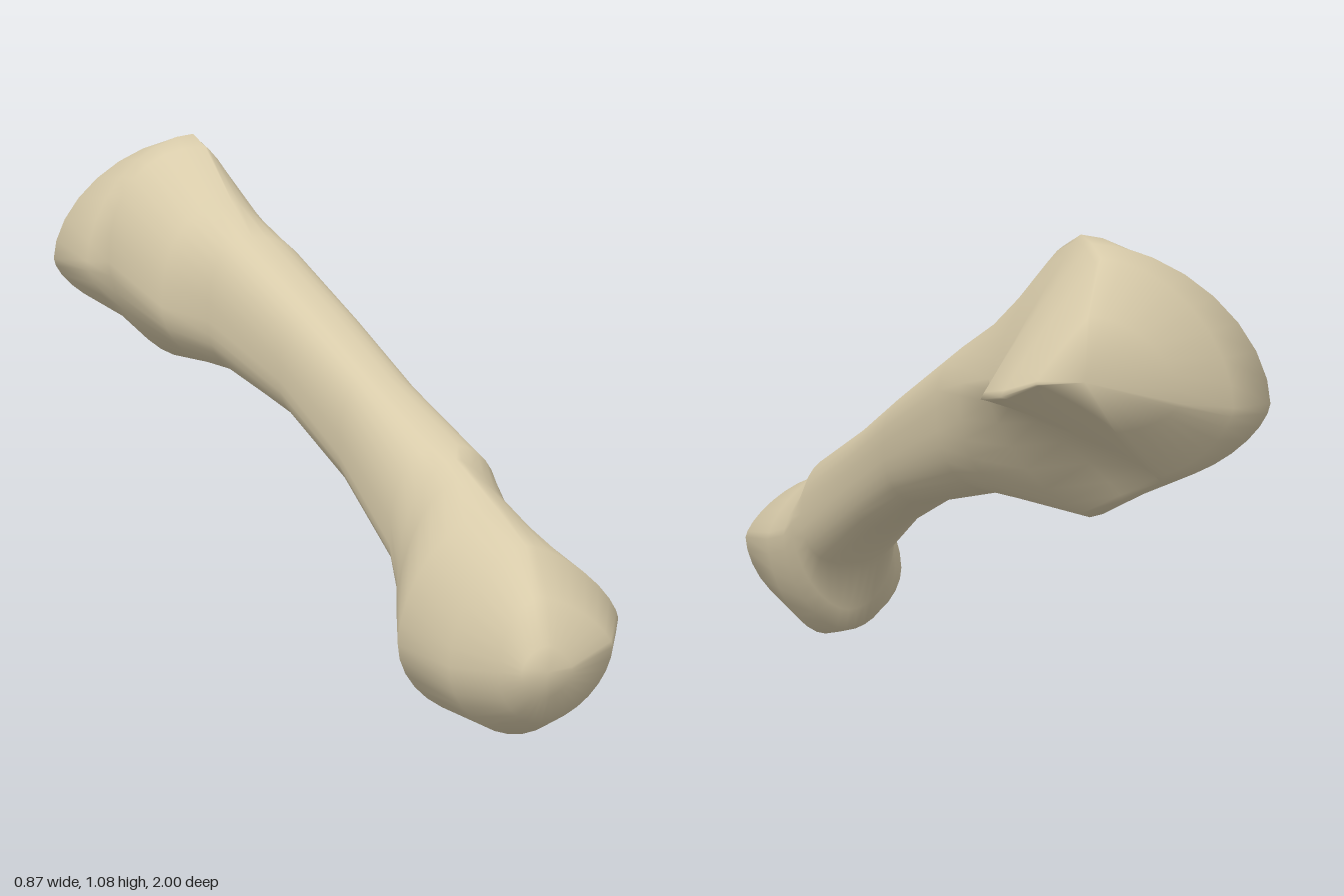
import * as THREE from 'three';

// Corner shape of each quarter: upper +x, upper -x, lower -x, lower +x.
// 1 is elliptical, below 1 is fuller, 2 is straight, above 2 is hollow.
const KNEE = [1.4, 1.1, 1.05, 1.15];
const SHAFT = [0.85, 0.85, 0.85, 0.8];
const NECK = [1.25, 0.9, 1.05, 0.9];
const HIP_FRONT = [1.6, 0.9, 1.2, 1.4];
const HIP = [1.85, 1.15, 1.25, 2.3];

// Cross-sections from the rounded knee end (+z) to the pointed hip end (-z).
// shape, z, then the side points [xMin, y] [xMax, y], the bottom [yMin, x] and the top [yMax, x]
const SECTIONS = [
  // knee end
  [KNEE, 0.995, 0.18, 0.2, 0.28, 0.2, 0.15, 0.23, 0.25, 0.23],
  [KNEE, 0.95, 0.15, 0.19, 0.38, 0.22, 0.08, 0.24, 0.33, 0.23],
  [KNEE, 0.85, 0.09, 0.17, 0.435, 0.24, 0.02, 0.24, 0.4, 0.24],
  [KNEE, 0.7, 0.035, 0.17, 0.39, 0.26, 0, 0.24, 0.43, 0.24],
  [KNEE, 0.58, 0.07, 0.2, 0.36, 0.29, 0.035, 0.2, 0.475, 0.22],
  [KNEE, 0.53, 0.085, 0.25, 0.345, 0.33, 0.1, 0.2, 0.495, 0.21],
  // shaft
  [SHAFT, 0.48, 0.085, 0.31, 0.325, 0.36, 0.23, 0.2, 0.515, 0.2],
  [SHAFT, 0.25, 0.04, 0.45, 0.24, 0.5, 0.36, 0.15, 0.62, 0.12],
  [SHAFT, 0, -0.03, 0.57, 0.19, 0.6, 0.46, 0.1, 0.73, 0.06],
  [SHAFT, -0.3, -0.13, 0.66, 0.125, 0.71, 0.53, -0.02, 0.86, -0.02],
  // hip end
  [NECK, -0.42, -0.22, 0.68, 0.1, 0.75, 0.53, -0.06, 0.93, -0.04],
  [HIP_FRONT, -0.6, -0.32, 0.77, 0.08, 0.78, 0.52, -0.13, 1.055, -0.07],
  [HIP, -0.7, -0.36, 0.76, 0.1, 0.78, 0.57, -0.17, 1.08, -0.08],
  [HIP, -0.78, -0.435, 0.76, 0.13, 0.78, 0.615, -0.22, 1.065, -0.08],
  [HIP, -0.84, -0.34, 0.76, 0.105, 0.79, 0.635, -0.19, 1.04, -0.08],
  [HIP, -0.92, -0.21, 0.78, 0.06, 0.82, 0.73, -0.09, 0.94, -0.04],
];
const SEGMENTS = 32;

// Point of a section: four curved quarters joining its side, top and bottom points
function sectionPoint([shape, z, x0, y0, x1, y1, yLow, xLow, yHigh, xHigh], j) {
  const angle = (j / SEGMENTS) * Math.PI * 2;
  const power = shape[Math.floor((4 * j) / SEGMENTS)];
  const c = Math.cos(angle), s = Math.sin(angle);
  const u = Math.abs(c) ** power, v = Math.abs(s) ** power;
  const [sideX, sideY] = c >= 0 ? [x1, y1] : [x0, y0];
  const [endX, endY] = s >= 0 ? [xHigh, yHigh] : [xLow, yLow];
  return [endX + (sideX - endX) * u, sideY + (endY - sideY) * v, z];
}

function loftGeometry() {
  const positions = [], index = [];
  for (const section of SECTIONS) {
    for (let j = 0; j < SEGMENTS; j++) positions.push(...sectionPoint(section, j));
  }
  // Closing points at the two ends
  const frontTip = positions.length / 3, backTip = frontTip + 1;
  positions.push(0.23, 0.2, 1, -0.01, 0.83, -1);

  const last = (SECTIONS.length - 1) * SEGMENTS;
  for (let j = 0; j < SEGMENTS; j++) {
    const k = (j + 1) % SEGMENTS;
    index.push(frontTip, j, k, backTip, last + k, last + j);
    for (let row = 0; row < last; row += SEGMENTS) {
      const a = row + j, b = row + k, c = a + SEGMENTS, d = b + SEGMENTS;
      index.push(a, c, b, b, c, d);
    }
  }
  const geometry = new THREE.BufferGeometry();
  geometry.setAttribute('position', new THREE.Float32BufferAttribute(positions, 3));
  geometry.setIndex(index);
  geometry.computeVertexNormals();
  return geometry;
}

export function createModel() {
  const boneColor = new THREE.MeshStandardMaterial({ color: 0xd8cbaa });
  boneColor.name = 'bone';

  const bone = new THREE.Mesh(loftGeometry(), boneColor);
  bone.name = 'thighBone';

  const model = new THREE.Group();
  model.name = 'bone';
  model.add(bone);
  return model;
}
